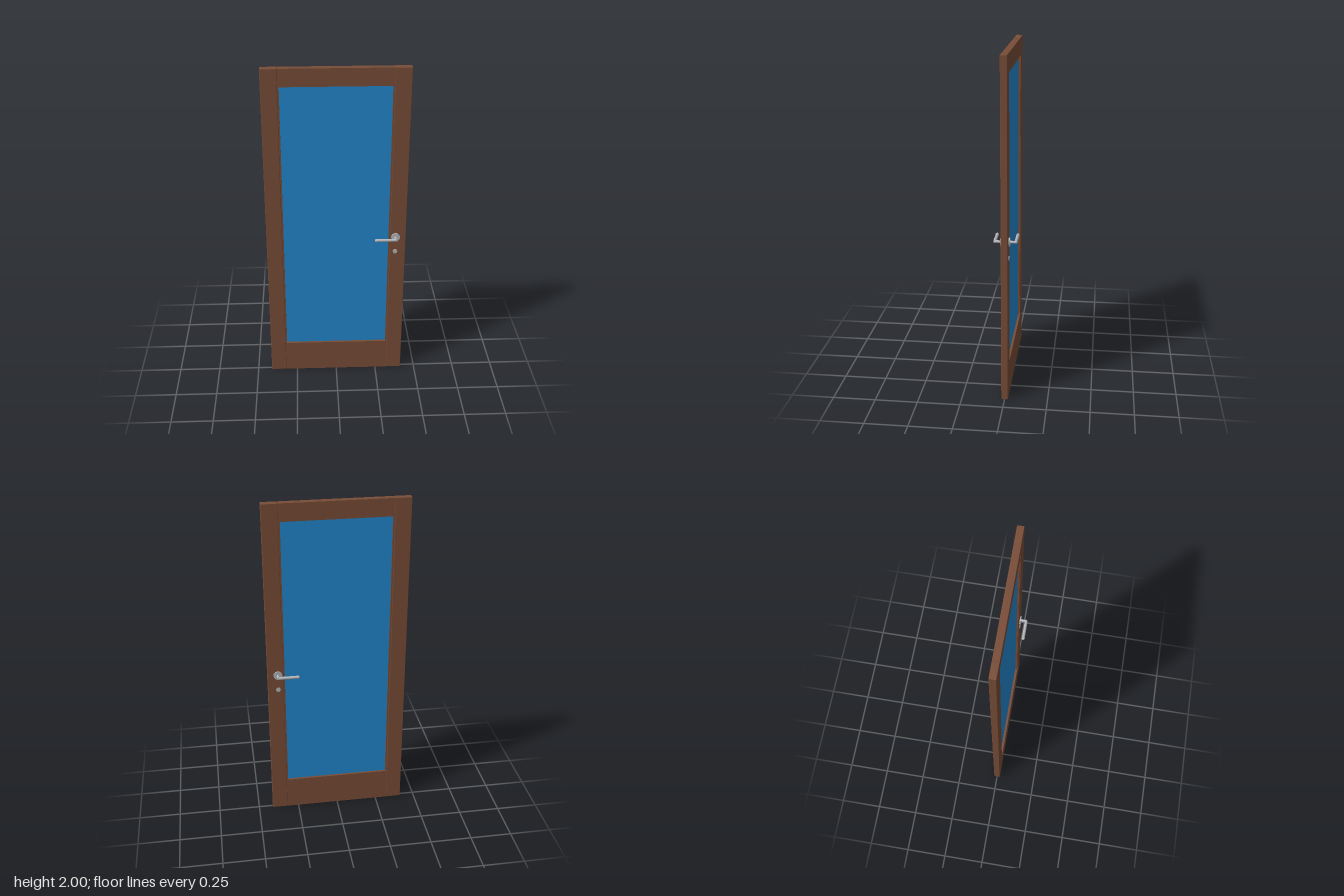
import * as THREE from 'three';
import { RoundedBoxGeometry } from 'three/addons/geometries/RoundedBoxGeometry.js';

export function createModel() {
  const door = new THREE.Group();
  door.name = 'glazedDoor';

  const wood = new THREE.MeshStandardMaterial({ color: 0x784c36 });
  wood.name = 'brown wood';
  const glass = new THREE.MeshStandardMaterial({ color: 0x2287ce });
  glass.name = 'blue glass';
  const metal = new THREE.MeshStandardMaterial({ color: 0xb2b5b9 });
  metal.name = 'grey metal';

  const add = (parent, name, geometry, material, x, y, z) => {
    const mesh = new THREE.Mesh(geometry, material);
    mesh.name = name;
    mesh.position.set(x, y, z);
    parent.add(mesh);
    return mesh;
  };

  const W = 0.413, INNER = 0.32, DEPTH = 0.039;
  const RAIL_LOW = 0.204, RAIL_HIGH = 1.896;
  const openingH = RAIL_HIGH - RAIL_LOW, midY = (RAIL_HIGH + RAIL_LOW) / 2;

  // Full-height stiles with softened edges, and the thin glazing beads beside the glass
  for (const side of [-1, 1]) {
    const label = side > 0 ? 'left' : 'right';
    add(door, label + 'Stile', new RoundedBoxGeometry(W - INNER, 2, DEPTH, 1, 0.003),
      wood, side * (W + INNER) / 2, 1, 0);
    add(door, label + 'Bead', new THREE.BoxGeometry(0.012, openingH, 0.03),
      wood, side * 0.317, midY, 0);
  }

  // Rails between the stiles
  const rail = (name, y0, y1) => add(door, name,
    new THREE.BoxGeometry(INNER * 2, y1 - y0, DEPTH - 0.001), wood, 0, (y0 + y1) / 2, 0);
  rail('bottomRail', 0.001, RAIL_LOW);
  rail('topRail', RAIL_HIGH, 1.999);

  // Glass pane
  add(door, 'glassPane', new THREE.BoxGeometry(0.625, openingH + 0.004, 0.01), glass, 0, midY, 0);

  // Matching handle and keyhole cover on each face
  const HX = 0.352, HY = 0.96;
  for (const face of [1, -1]) {
    const set = new THREE.Group();
    set.name = face > 0 ? 'frontHandle' : 'backHandle';
    door.add(set);

    const disc = (name, radius, z0, z1, y, sides) => {
      const part = add(set, name, new THREE.CylinderGeometry(radius, radius, z1 - z0, sides),
        metal, HX, y, face * (z0 + z1) / 2);
      part.rotation.x = Math.PI / 2;
    };
    disc('rose', 0.026, 0.017, 0.027, HY, 20);
    disc('neck', 0.008, 0.025, 0.064, HY, 16);
    disc('keyholeCover', 0.014, 0.017, 0.023, 0.863, 16);

    // Lever pointing towards the middle of the door, with a rounded tip
    const lever = add(set, 'lever', new THREE.CylinderGeometry(0.009, 0.009, 0.114, 16),
      metal, 0.293, HY, face * 0.059);
    lever.rotation.z = Math.PI / 2;
    add(set, 'leverTip', new THREE.SphereGeometry(0.01, 16, 12), metal, 0.237, HY, face * 0.059);
  }

  return door;
}
